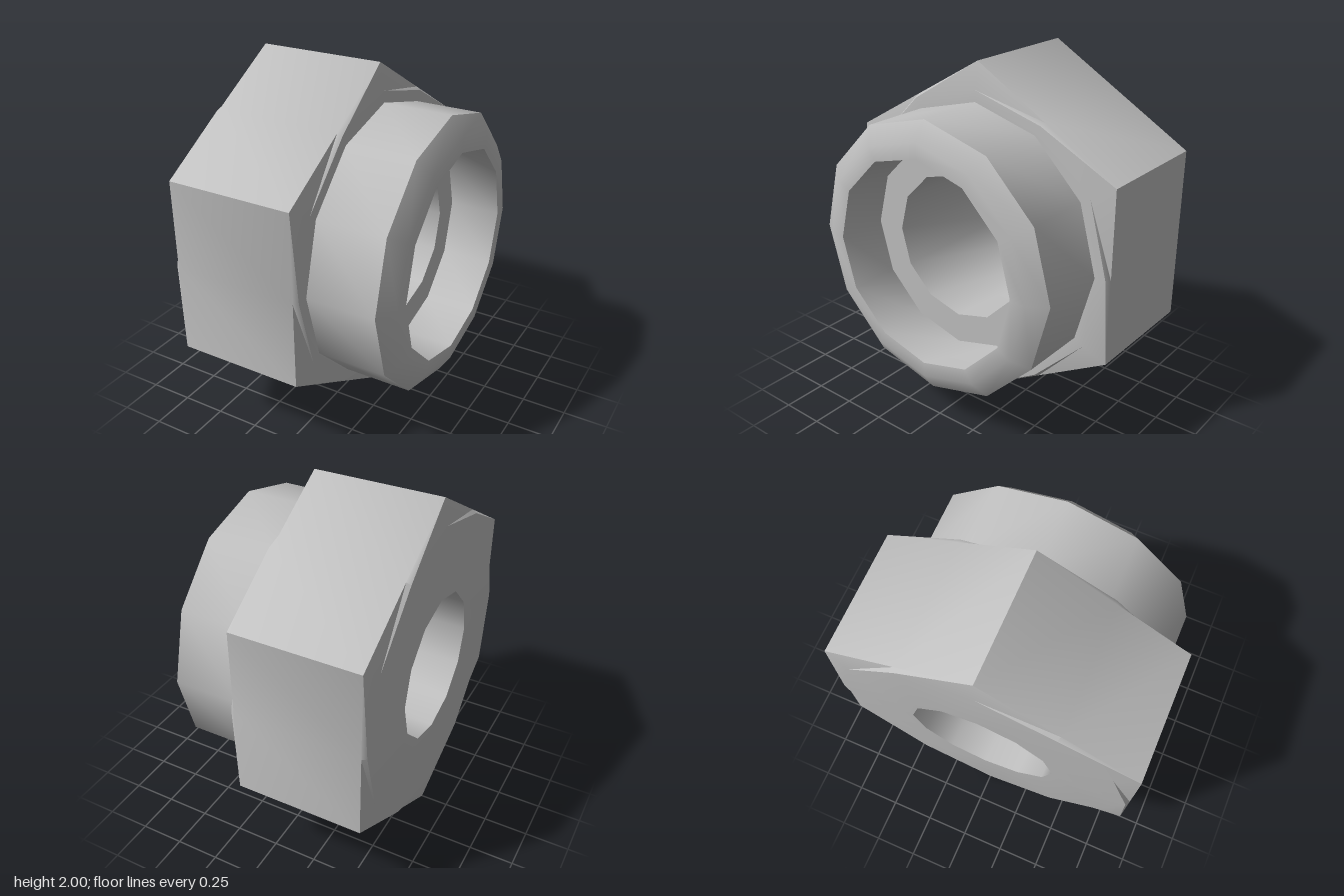
import * as THREE from 'three';
import { toCreasedNormals } from 'three/addons/utils/BufferGeometryUtils.js';

const SIDES = 12;

// Skin a list of [x, radius, isHex] rings around the x axis, 12 points each.
function skin(rings) {
  const pos = [];
  const point = (i, j) => {
    const [x, r, hex] = rings[i];
    const a = (j % SIDES) * Math.PI * 2 / SIDES;
    // On a hexagon every second point is the middle of a side
    const rad = hex && j % 2 ? r * Math.cos(Math.PI / 6) : r;
    return [x, 1 + rad * Math.cos(a), rad * Math.sin(a)];
  };
  for (let i = 0; i < rings.length - 1; i++) {
    for (let j = 0; j < SIDES; j++) {
      const a = point(i, j), b = point(i, j + 1), c = point(i + 1, j + 1), d = point(i + 1, j);
      pos.push(...a, ...b, ...c, ...a, ...c, ...d);
    }
  }
  const geo = new THREE.BufferGeometry();
  geo.setAttribute('position', new THREE.Float32BufferAttribute(pos, 3));
  return toCreasedNormals(geo, 0.62);
}

export function createModel() {
  const group = new THREE.Group();
  group.name = 'hexFitting';
  const steel = new THREE.MeshStandardMaterial({ color: 0xc0c0c0 });
  steel.name = 'steel grey';

  const add = (name, rings) => {
    const mesh = new THREE.Mesh(skin(rings), steel);
    mesh.name = name;
    group.add(mesh);
  };

  // Hexagonal head with chamfered corners at both ends
  add('hexHead', [
    [-0.616, 0.42], [-0.616, 0.85], [-0.592, 1, true],
    [0.132, 1, true], [0.158, 0.85], [0.158, 0.785],
  ]);
  // Round collar with a bevelled rim
  add('collar', [[0.158, 0.785], [0.548, 0.785], [0.616, 0.68], [0.616, 0.595]]);
  // Wide counterbore, flat step and narrow through hole
  add('bore', [[0.616, 0.595], [0.32, 0.595], [0.32, 0.42], [-0.616, 0.42]]);

  return group;
}
